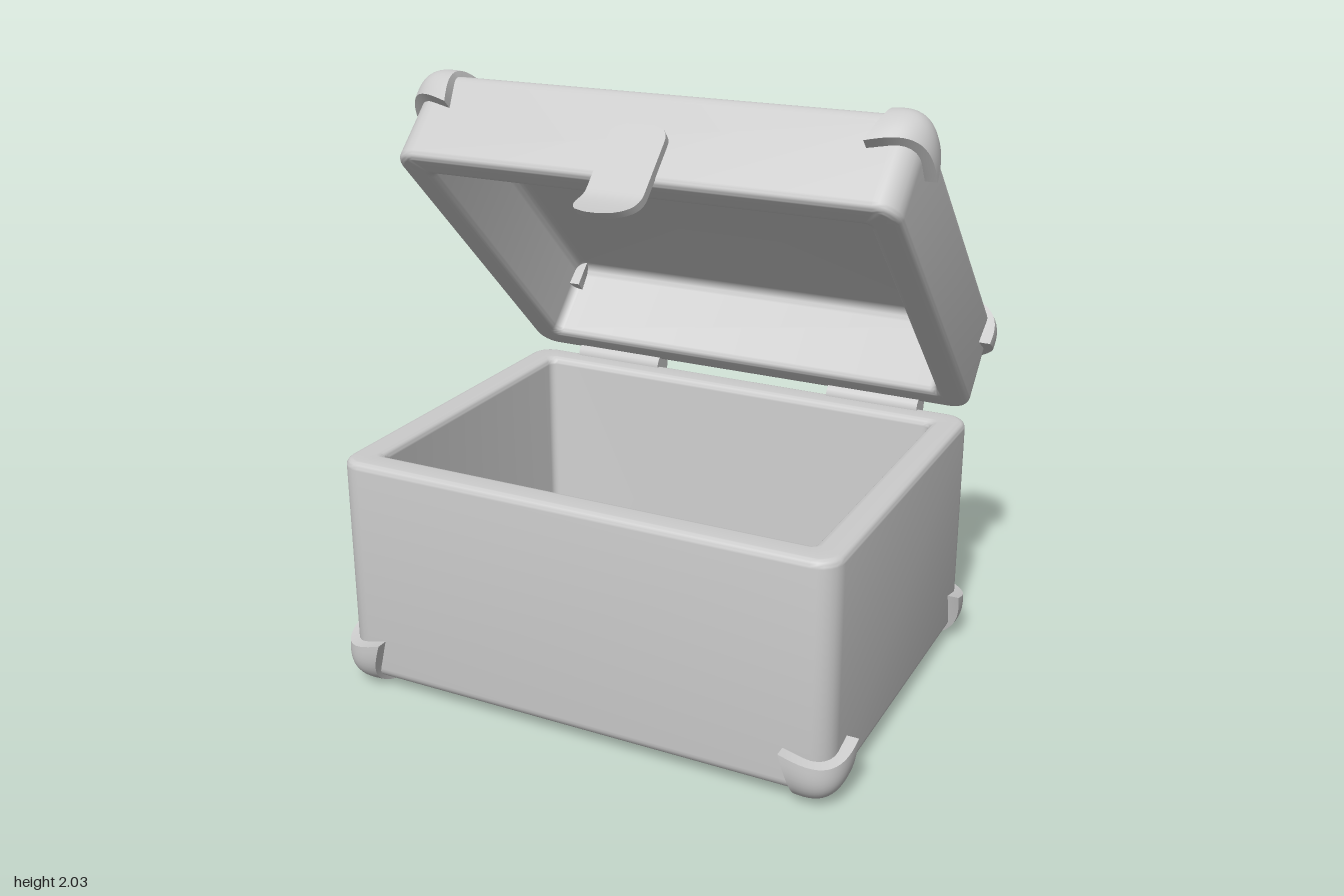
import * as THREE from 'three';
import { toCreasedNormals } from 'three/addons/utils/BufferGeometryUtils.js';

const material = new THREE.MeshStandardMaterial({ color: 0xcccccc });
const WIDTH = 1.76, DEPTH = 1.32, WALL = 0.11;

function addMesh(parent, name, geometry) {
  const mesh = new THREE.Mesh(geometry, material);
  mesh.name = name;
  parent.add(mesh);
  return mesh;
}

// One horizontal rounded-rectangle loop, pulled in by inset
function loop(inset, y) {
  const r = Math.max(0.08 - inset, 0.03), points = [];
  for (let q = 0; q < 4; q++) {
    const sx = q === 0 || q === 3 ? 1 : -1, sz = q < 2 ? 1 : -1;
    for (let i = 0; i <= 6; i++) {
      const a = (q + i / 6) * Math.PI / 2;
      points.push([
        sx * (WIDTH / 2 - inset - r) + r * Math.cos(a), y,
        sz * (DEPTH / 2 - inset - r) + r * Math.sin(a)]);
    }
  }
  return points;
}

// Open-topped box with rounded edges: floor underside, outer wall, rim, inner wall, inner floor
function hollowBox(height, floor, edge) {
  const profile = [];
  const arc = (cx, cy, r, from, to) => {
    for (let i = 0; i <= 6; i++) {
      const a = from + (to - from) * i / 6;
      profile.push([cx + r * Math.cos(a), cy + r * Math.sin(a)]);
    }
  };
  const P = Math.PI, rim = 0.025, fillet = 0.04;
  arc(edge, edge, edge, -P / 2, -P);
  arc(rim, height - rim, rim, P, P / 2);
  arc(WALL - rim, height - rim, rim, P / 2, 0);
  arc(WALL + fillet, floor + fillet, fillet, P, 1.5 * P);
  const loops = profile.map(([inset, y]) => loop(inset, y));
  loops.unshift(loops[0].map(() => [0, 0, 0]));
  loops.push(loops[0].map(() => [0, floor, 0]));
  const n = loops[0].length, index = [];
  for (let i = 0; i < loops.length - 1; i++) {
    for (let j = 0; j < n; j++) {
      const a = i * n + j, b = i * n + (j + 1) % n, c = a + n, d = b + n;
      if (i < loops.length - 2) index.push(b, c, d);
      if (i > 0) index.push(a, c, b);
      }
  }
  const geometry = new THREE.BufferGeometry();
  geometry.setAttribute('position', new THREE.Float32BufferAttribute(loops.flat(2), 3));
  geometry.setIndex(index);
  return toCreasedNormals(geometry, 0.7);
}

// Corner guard: one octant of a squarish ball, pinched in along the box edges
function cornerGeometry() {
  const R = 0.19, n = 2.8;
  const geometry = new THREE.BoxGeometry(1, 1, 1, 8, 8, 8).translate(0.5, 0.5, 0.5);
  const pos = geometry.attributes.position;
  for (let i = 0; i < pos.count; i++) {
    const v = [pos.getX(i), pos.getY(i), pos.getZ(i)].map(t => Math.max(t, 0));
    const norm = Math.pow(v.reduce((s, t) => s + t ** n, 0), 1 / n) || 1;
    const [a, b, c] = v.map(t => t * Math.max(...v) / norm);
    const pinch = (p, q, r) => R * (p + 0.3 * q * r * (1 - p));
    pos.setXYZ(i, pinch(a, b, c), pinch(b, a, c), pinch(c, a, b));
  }
  return toCreasedNormals(geometry, 0.7);
}

// Four guards around the top (or bottom) of a box centred on z
function addCorners(parent, geometry, y, z, bottom) {
  const inset = 0.15;
  for (let k = 0; k < 4; k++) {
    const corner = addMesh(parent, 'cornerGuard', geometry);
    corner.rotation.set(bottom ? Math.PI : 0, k * Math.PI / 2, 0);
    const s = new THREE.Vector3(1, 1, 1).applyEuler(corner.rotation);
    corner.position.set(
      s.x * (WIDTH / 2 - inset), y - s.y * inset, z + s.z * (DEPTH / 2 - inset));
  }
}

// Clasp plate with rounded ends and an outward-curled lower lip
function claspGeometry() {
  const H = 0.38, geometry = new THREE.BoxGeometry(0.2, H, 0.03, 8, 28, 1);
  const pos = geometry.attributes.position;
  for (let i = 0; i < pos.count; i++) {
    const y = pos.getY(i), r = y > 0 ? 0.05 : 0.08;
    const d = Math.min(H / 2 - Math.abs(y), r);
    const half = 0.1 - r + Math.sqrt(Math.max(r * r - (r - d) ** 2, 0));
    const t = Math.max(0, -0.06 - y);
    pos.setX(i, pos.getX(i) * half / 0.1);
    pos.setZ(i, pos.getZ(i) + t * t / (t + 0.06));
  }
  return toCreasedNormals(geometry, 0.7);
}

export function createModel() {
  const model = new THREE.Group();
  model.name = 'chest';
  const corner = cornerGeometry();

  // Base
  const base = new THREE.Group();
  base.name = 'base';
  base.position.set(0, 0.04, 0.1);
  addMesh(base, 'baseShell', hollowBox(0.79, 0.07, 0.04));
  addCorners(base, corner, 0, 0, true);
  model.add(base);

  // Lid, swung open about its back lower edge
  const lid = new THREE.Group();
  lid.name = 'lid';
  lid.position.set(0, 0.845, -0.565);
  lid.rotation.x = -Math.PI / 4;
  const shell = hollowBox(0.35, 0.05, 0.05).rotateX(Math.PI).translate(0, 0.35, DEPTH / 2);
  addMesh(lid, 'lidShell', shell);
  addCorners(lid, corner, 0.35, DEPTH / 2, false);
  addMesh(lid, 'clasp', claspGeometry()).position.set(0, 0, DEPTH + 0.012);
  model.add(lid);

  // Hinge barrels
  for (const side of [-1, 1]) {
    const hinge = new THREE.CylinderGeometry(0.043, 0.043, 0.345, 20).rotateZ(Math.PI / 2);
    addMesh(model, 'hinge', hinge).position.set(side * 0.518, 0.828, -0.567);
  }
  return model;
}
